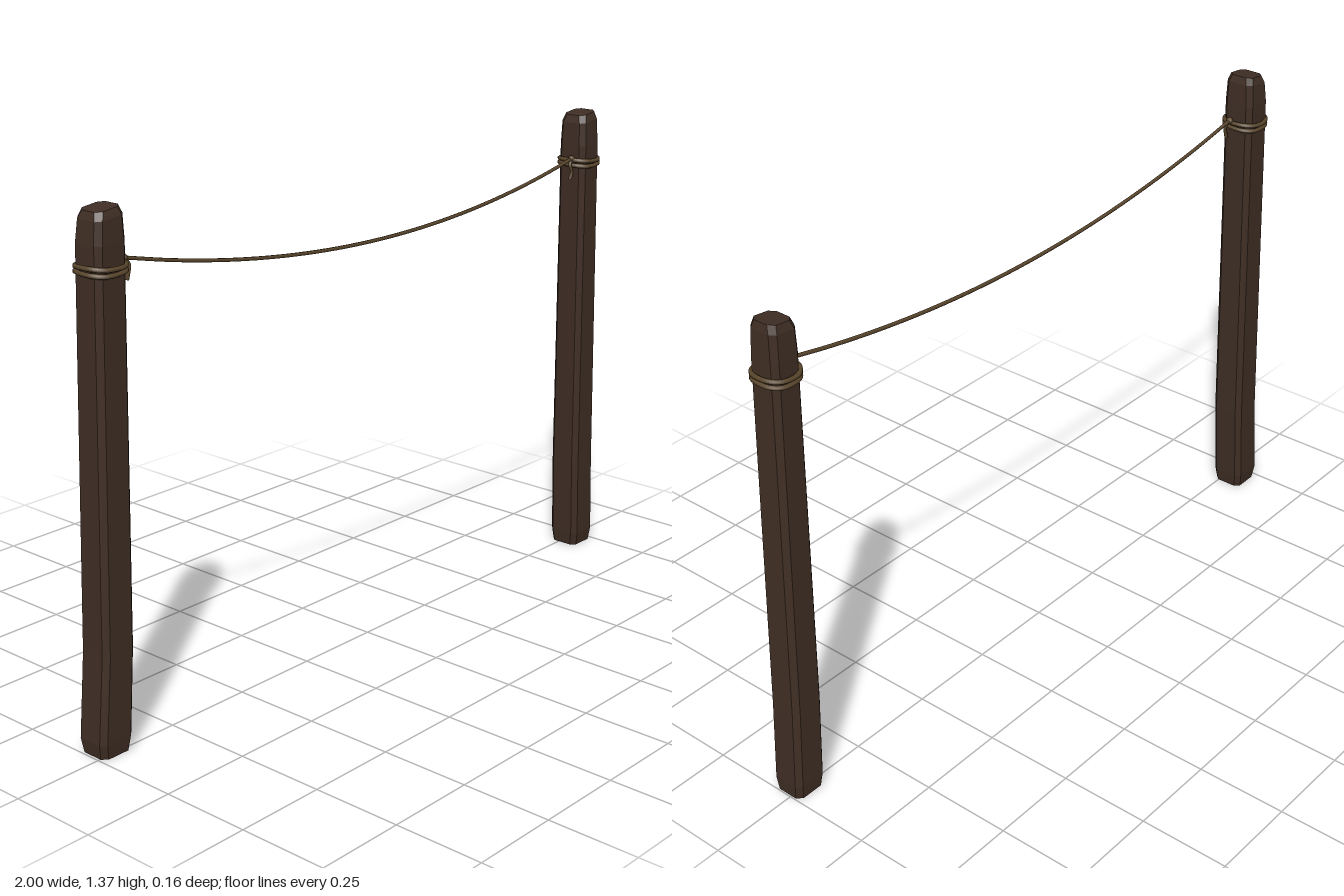
import * as THREE from 'three';

const wood = new THREE.MeshStandardMaterial({ color: 0x3f2e24 });
wood.name = 'dark wood';
wood.flatShading = true;
const rope = new THREE.MeshStandardMaterial({ color: 0x5a462c });
rope.name = 'rope brown';

const v = (x, y, z) => new THREE.Vector3(x, y, z);

// Outline of a square with cut corners, half-sizes w and d
function outline(w, d, cut) {
  return [
    [w, -d + cut], [w, d - cut], [w - cut, d], [-w + cut, d],
    [-w, d - cut], [-w, -d + cut], [-w + cut, -d], [w - cut, -d],
  ];
}

// Leaning post lofted through sections [y, centre x, centre z, half width, half depth, tilt]
function makePost(name, sections) {
  const rings = sections.map(([y, cx, cz, w, d, tilt = 0]) =>
    outline(w, d, 0.014).map(([x, z]) => v(cx + x, y + x * tilt, cz + z)));
  const pts = [];
  for (let r = 0; r < rings.length - 1; r++) {
    for (let i = 0; i < 8; i++) {
      const j = (i + 1) % 8, lo = rings[r], hi = rings[r + 1];
      pts.push(lo[i], hi[i], lo[j], lo[j], hi[i], hi[j]);
    }
  }
  const last = rings.length - 1;
  for (let i = 1; i < 7; i++) {
    pts.push(rings[last][0], rings[last][i + 1], rings[last][i]);
    pts.push(rings[0][0], rings[0][i], rings[0][i + 1]);
  }
  const geometry = new THREE.BufferGeometry().setFromPoints(pts);
  geometry.computeVertexNormals();
  const mesh = new THREE.Mesh(geometry, wood);
  mesh.name = name;
  return mesh;
}

function makeRope(name, points, radius, segments, closed = false) {
  const curve = new THREE.CatmullRomCurve3(points, closed, 'centripetal');
  const mesh = new THREE.Mesh(new THREE.TubeGeometry(curve, segments, radius, 6, closed), rope);
  mesh.name = name;
  return mesh;
}

// Two rope turns around a post, plus a knot and a hanging tail on the inner side
function makeLashing(name, cx, y, cz, w, d, knot, tail) {
  const group = new THREE.Group();
  group.name = name;
  [-0.007, 0.007].forEach((dy, k) => {
    const loop = outline(w, d, 0.024).map(([x, z], i) =>
      v(cx + x, y + dy + 0.002 * Math.sin(i * 1.6 + k), cz + z));
    group.add(makeRope('ropeTurn', loop, 0.0065, 48, true));
  });
  const ball = new THREE.Mesh(new THREE.SphereGeometry(0.01, 8, 6), rope);
  ball.name = 'knot';
  ball.position.copy(knot);
  group.add(ball, makeRope('ropeTail', [knot, ...tail], 0.005, 10));
  return group;
}

export function createModel() {
  const model = new THREE.Group();
  model.name = 'ropeBetweenPosts';

  // Posts
  model.add(makePost('rightPost', [
    [0, -0.947, -0.028, 0.046, 0.044],
    [0.04, -0.947, -0.028, 0.052, 0.049],
    [0.27, -0.931, -0.025, 0.05, 0.049],
    [1.29, -0.913, -0.012, 0.047, 0.046],
    [1.35, -0.912, -0.010, 0.043, 0.043, 0.1],
    [1.37, -0.911, -0.010, 0.036, 0.036, 0.12],
  ]));
  model.add(makePost('leftPost', [
    [0, 0.951, 0.013, 0.045, 0.043],
    [0.04, 0.950, 0.014, 0.049, 0.048],
    [0.27, 0.940, 0.015, 0.048, 0.048],
    [1.26, 0.917, 0.020, 0.043, 0.045],
    [1.33, 0.916, 0.020, 0.041, 0.042, 0.1],
    [1.352, 0.917, 0.020, 0.035, 0.035, 0.12],
  ]));

  // Lashings
  const start = v(-0.856, 1.243, 0.002), end = v(0.866, 1.222, 0.03);
  model.add(makeLashing('rightLashing', -0.914, 1.228, -0.012, 0.051, 0.051, start,
    [v(-0.845, 1.225, 0.008), v(-0.85, 1.208, 0.01), v(-0.853, 1.19, 0.008)]));
  model.add(makeLashing('leftLashing', 0.917, 1.21, 0.02, 0.048, 0.05, end,
    [v(0.856, 1.205, 0.033), v(0.862, 1.185, 0.036), v(0.855, 1.163, 0.034)]));

  // Sagging rope
  const sag = [];
  for (let i = 0; i <= 12; i++) {
    const t = i / 12, p = start.clone().lerp(end, t);
    p.y -= 0.4 * t * (1 - t);
    p.z += 0.032 * t * (1 - t);
    sag.push(p);
  }
  model.add(makeRope('hangingRope', sag, 0.005, 48));
  return model;
}
